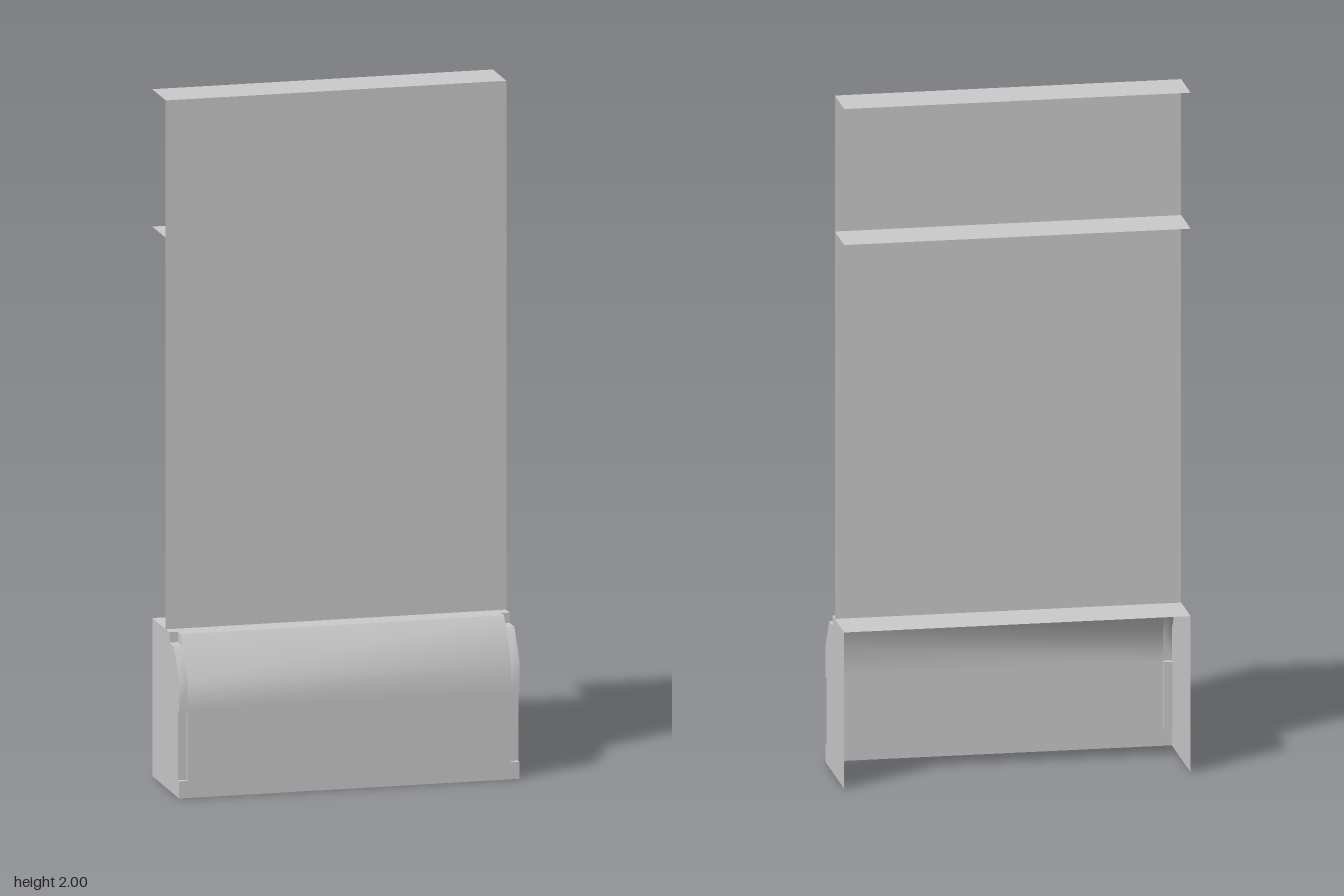
import * as THREE from 'three';
import { toCreasedNormals } from 'three/addons/utils/BufferGeometryUtils.js';

const HALF = 0.5;      // half width
const INNER = 0.475;   // where the corner notches begin
const BACK = -0.15, FRONT = 0.15, BASE_TOP = 0.46, TOP = 2;

const material = new THREE.MeshStandardMaterial({ color: 0xcccccc, side: THREE.DoubleSide });

function addMesh(parent, name, geometry) {
  const mesh = new THREE.Mesh(geometry, material);
  mesh.name = name;
  parent.add(mesh);
  return mesh;
}

// Thin sheet: a [z, y] profile swept along x; bends below the crease angle stay smooth
function sheet(profile, x0, x1, crease = 0.7) {
  const positions = [], index = [];
  profile.forEach(([z, y], i) => {
    positions.push(x0, y, z, x1, y, z);
    if (i > 0) {
      const a = 2 * (i - 1);
      index.push(a, a + 1, a + 3, a, a + 3, a + 2);
    }
  });
  const geometry = new THREE.BufferGeometry();
  geometry.setAttribute('position', new THREE.Float32BufferAttribute(positions, 3));
  geometry.setIndex(index);
  return toCreasedNormals(geometry, crease);
}

// Flat plate: a closed [z, y] outline standing at a given x, facing +x
function plate(outline, x) {
  const shape = new THREE.Shape(outline.map(([z, y]) => new THREE.Vector2(-z, y)));
  return new THREE.ShapeGeometry(shape).rotateY(Math.PI / 2).translate(x, 0, 0);
}

export function createModel() {
  const model = new THREE.Group();
  model.name = 'displayStand';

  // Base cover: front, sloping shoulder and top, open at the back and bottom
  const base = new THREE.Group();
  base.name = 'base';
  model.add(base);
  addMesh(base, 'baseCover', sheet([
    [FRONT, 0], [FRONT, 0.25], [FRONT, 0.34], [0.07, BASE_TOP], [0.04, BASE_TOP], [BACK, BASE_TOP],
  ], -INNER, INNER));

  // Notched ends of the cover, side panels and the inner walls of the notches
  const notched = [
    [FRONT, 0], [FRONT, 0.05], [0.135, 0.05], [0.135, 0.25], [FRONT, 0.25],
    [FRONT, 0.34], [0.09, 0.43], [0.04, 0.43], [0.04, BASE_TOP], [BACK, BASE_TOP],
  ];
  const lowerNotch = [[FRONT, 0.05], [FRONT, 0.25], [0.135, 0.25], [0.135, 0.05]];
  const upperNotch = [[0.09, 0.43], [0.07, BASE_TOP], [0.04, BASE_TOP], [0.04, 0.43]];
  for (const [side, s] of [['left', 1], ['right', -1]]) {
    const [x0, x1] = s > 0 ? [INNER, HALF] : [-HALF, -INNER];
    addMesh(base, side + 'CoverEnd', sheet(notched, x0, x1));
    const parts = [
      ['SidePanel', [...notched, [BACK, 0]], HALF],
      ['LowerNotchWall', lowerNotch, INNER],
      ['UpperNotchWall', upperNotch, INNER],
    ];
    for (const [name, outline, x] of parts) {
      const geometry = plate(outline, x);
      if (s < 0) geometry.rotateY(Math.PI).scale(1, 1, -1);
      // mirroring in z reverses the faces, so restore their order
      if (s < 0) geometry.index.array.reverse();
      addMesh(base, side + name, geometry);
    }
  }

  // Upright back panel
  addMesh(model, 'uprightPanel', sheet([[0, BASE_TOP], [0, TOP]], -HALF, HALF));

  // Shelves projecting backwards from the panel
  for (const [name, y] of [['middleShelf', 1.6], ['topShelf', TOP]]) {
    addMesh(model, name, sheet([[0, y], [BACK, y]], -HALF, HALF));
  }

  return model;
}
